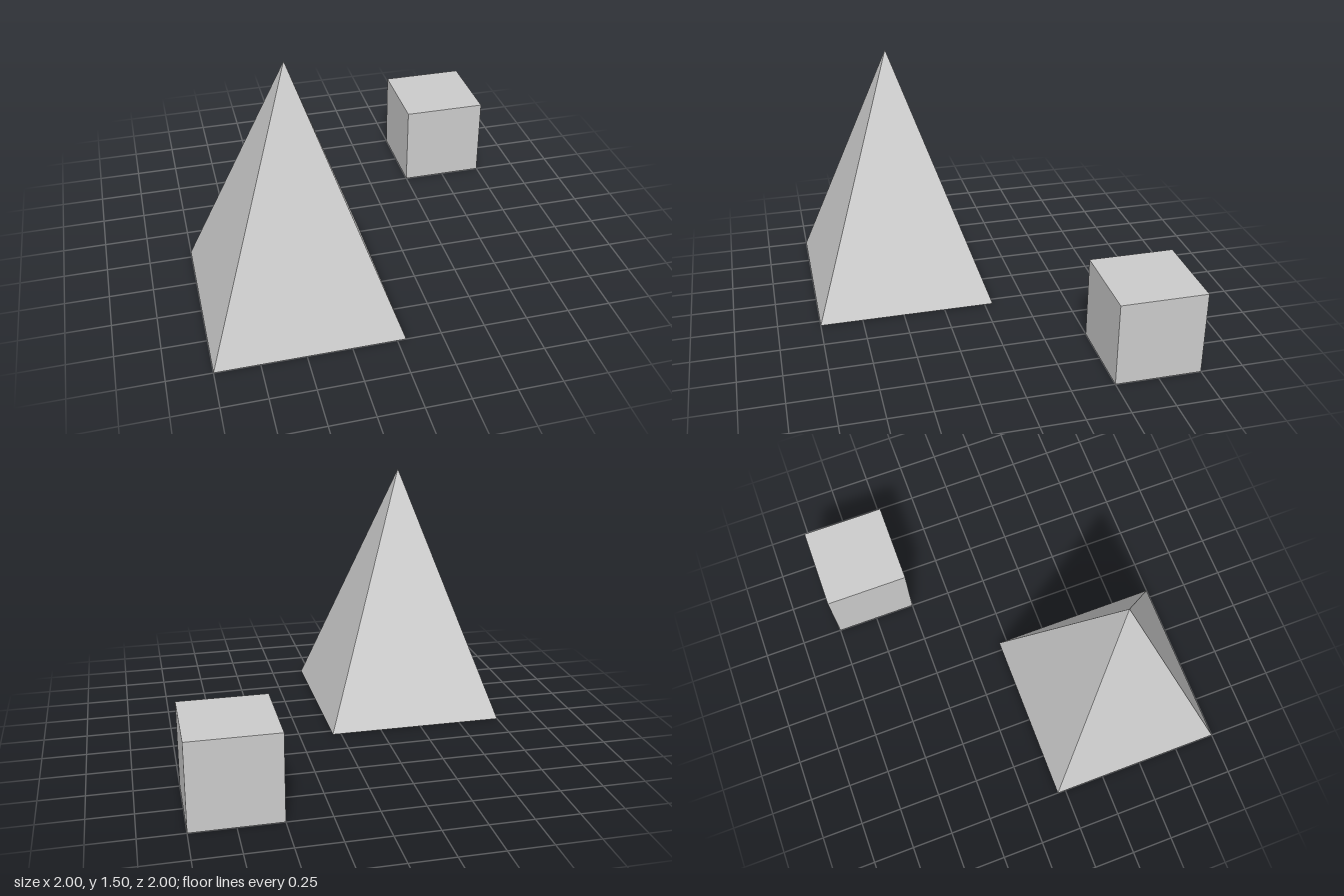
import * as THREE from 'three';

export function createModel() {
  const group = new THREE.Group();
  const material = new THREE.MeshStandardMaterial({ color: 0xcccccc, flatShading: true });

  // Square pyramid: a four-sided cone turned so its base is aligned to the axes
  const side = 1.05, height = 1.5;
  const pyramidGeometry = new THREE.ConeGeometry(side / Math.SQRT2, height, 4);
  pyramidGeometry.rotateY(Math.PI / 4);
  const pyramid = new THREE.Mesh(pyramidGeometry, material);
  pyramid.name = 'pyramid';
  pyramid.position.set(-1 + side / 2, height / 2, 1 - side / 2);
  group.add(pyramid);

  // Small cube in the opposite corner
  const edge = 0.5;
  const cube = new THREE.Mesh(new THREE.BoxGeometry(edge, edge, edge), material);
  cube.name = 'cube';
  cube.position.set(1 - edge / 2, edge / 2, -1 + edge / 2);
  group.add(cube);

  return group;
}
